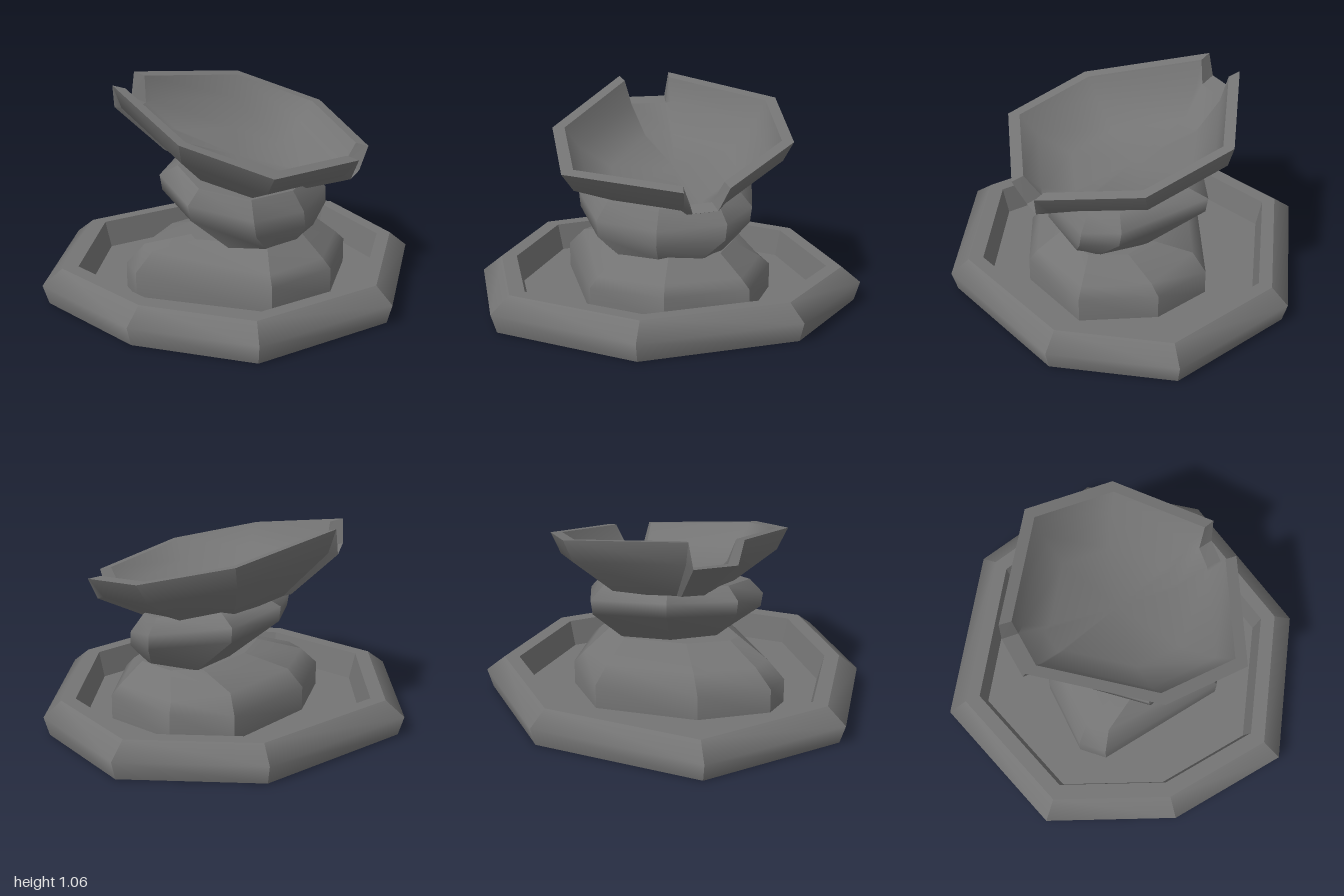
import * as THREE from 'three';
import { mergeGeometries } from 'three/addons/utils/BufferGeometryUtils.js';

const material = new THREE.MeshStandardMaterial({ color: 0x747474, side: THREE.DoubleSide });

// Skin chosen columns of a stack of [x, y, z] rings with shared normals
function patch(rings, columns) {
  const n = rings[0].length;
  const index = [];
  for (const i of columns) {
    const j = (i + 1) % n;
    for (let r = 0; r < rings.length - 1; r++) {
      const a = r * n, b = a + n;
      index.push(a + i, b + i, b + j, a + i, b + j, a + j);
    }
  }
  const geometry = new THREE.BufferGeometry();
  geometry.setAttribute('position', new THREE.Float32BufferAttribute(rings.flat(2), 3));
  geometry.setIndex(index);
  geometry.computeVertexNormals();
  return geometry;
}

// Each band is smooth from ring to ring; a round band is smooth around the sides too
function part(name, bands, roundBand) {
  const geometries = bands.flatMap(rings => {
    const columns = rings[0].map((_, i) => i);
    return rings === roundBand ? [patch(rings, columns)] : columns.map(i => patch(rings, [i]));
  });
  const mesh = new THREE.Mesh(mergeGeometries(geometries), material);
  mesh.name = name;
  return mesh;
}

// A ring shrunk to its middle, used to close an end
function middle(ring) {
  const centre = [0, 1, 2].map(k => ring.reduce((sum, p) => sum + p[k], 0) / ring.length);
  return ring.map(() => centre);
}

// Lower basin: uneven octagon with a bevelled rim and sunken floor
function basin() {
  const outline = [[1, -0.02], [0.75, 0.59], [0, 0.97], [-0.77, 0.74],
    [-1, 0.13], [-0.9, -0.55], [-0.22, -0.98], [0.65, -0.68]];
  const profile = [[0.97, 0], [1, 0.1], [0.9, 0.18], [0.82, 0.18], [0.785, 0.04]];
  const [base, side, edge, lip, floor] = profile.map(([s, y]) => outline.map(([x, z]) => [x * s, y, z * s]));
  return part('basin', [[middle(base), base], [base, side, edge], [edge, lip], [lip, floor], [floor, middle(floor)]]);
}

// Foot: squat stone block, its shoulder fuller at the back and left
function foot() {
  const outline = [[0.52, -0.03], [0.46, 0.37], [0.06, 0.56], [-0.33, 0.48],
    [-0.6, -0.18], [-0.53, -0.31], [-0.16, -0.42], [0.37, -0.32]];
  const lower = outline.map(([x, z]) => [x, 0.03, z]);
  const wall = outline.map(([x, z]) => [x, 0.17, z]);
  const shoulder = outline.map(([x, z]) => x < -0.5 || z < -0.3
    ? [x * 0.85, 0.265, z * 0.82] : [x * 0.9, 0.22, 0.02 + z * 0.88]);
  const upper = outline.map(([x, z]) => [0.015 + x * 0.62, 0.325, 0.1 + z * 0.5]);
  return part('foot', [[lower, wall, shoulder, upper], [upper, middle(upper)]]);
}

// Stem: faceted bulge leaning back
function stem() {
  const outline = [[0.94, 0.28], [0.72, 0.74], [0, 1], [-0.68, 0.82],
    [-1.02, 0.1], [-0.75, -0.65], [0, -1], [0.82, -0.86]];
  // x radius, z radius, z centre, height at centre, backward rise
  const profile = [[0.31, 0.22, 0.17, 0.31, 0], [0.46, 0.4, 0.04, 0.48, 0.23],
    [0.47, 0.4, 0.03, 0.56, 0.23], [0.4, 0.31, 0.05, 0.63, 0.21]];
  const rings = profile.map(([rx, rz, cz, y, rise]) =>
    outline.map(([x, z]) => [x * rx, y - z * rz * rise, cz + z * rz]));
  return part('stem', [rings, [rings[3], middle(rings[3])]]);
}

// Upper bowl: tilted, thick-walled, with two pieces broken out of its rim
function bowl() {
  // x, z and depth of the break at that point
  const outline = [[0.64, 0.07, 0], [0.38, 0.56, 0], [0.36, 0.64, 0.12], [0.23, 0.69, 0.13],
    [0.17, 0.64, 0], [-0.44, 0.57, 0], [-0.6, 0.12, 0], [-0.38, -0.52, 0],
    [-0.4, -0.58, 0.12], [-0.17, -0.68, 0.13], [-0.12, -0.61, 0], [0.5, -0.4, 0]];
  const lerp = THREE.MathUtils.lerp;
  const outer = h => h > -0.11 ? lerp(1, 0.91, -h / 0.11) : lerp(0.91, 0.5, (-h - 0.11) / 0.18);
  const inner = h => h > -0.11 ? lerp(0.9, 0.79, -h / 0.11) : lerp(0.79, 0.54, (-h - 0.11) / 0.11);
  const ring = (wall, level) => outline.map(([px, pz, cut]) => {
    const h = Math.min(level, -cut);
    const x = 0.02 + (px - 0.02) * wall(h);
    const z = 0.02 + (pz - 0.02) * wall(h);
    return [x, 0.905 - 0.25 * z - 0.04 * x + h, z + 0.2 * h];
  });
  const base = ring(outer, -0.29), rim = ring(outer, 0), lip = ring(inner, 0), floor = ring(inner, -0.22);
  const hollow = [lip, ring(inner, -0.11), floor, middle(floor)];
  return part('bowl', [[middle(base), base], [base, ring(outer, -0.11), rim], [rim, lip], hollow], hollow);
}

export function createModel() {
  const model = new THREE.Group();
  model.name = 'brokenFountain';
  model.add(basin(), foot(), stem(), bowl());
  return model;
}
